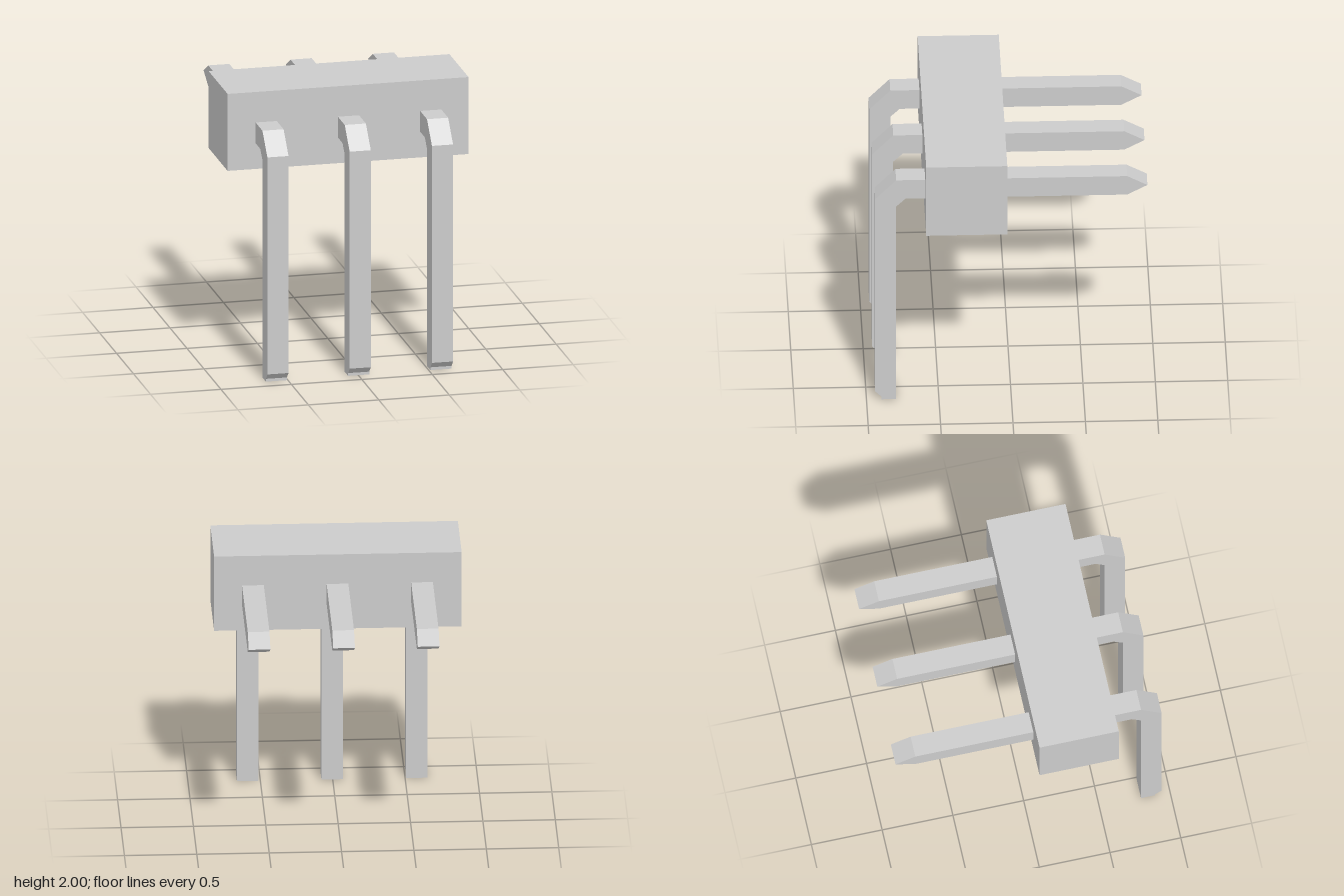
import * as THREE from 'three';

// Side outline of one bent pin as [z, y]
const PIN_OUTLINE = [
  [-0.94, 1.705], [-0.80, 1.63], [0.73, 1.63], [0.795, 1.567],
  [0.795, 0], [0.895, 0], [0.895, 0.02], [0.94, 0.065],
  [0.94, 1.63], [0.795, 1.78], [-0.80, 1.78],
];
const PIN_WIDTH = 0.15;
const PIN_SPACING = 0.584;

export function createModel() {
  const group = new THREE.Group();
  group.name = 'pinHeader';
  const material = new THREE.MeshStandardMaterial({ color: 0xcccccc, flatShading: true });

  // Housing block that holds the pins
  const housing = new THREE.Mesh(new THREE.BoxGeometry(1.71, 0.555, 0.56), material);
  housing.name = 'housing';
  housing.position.set(0, 1.7225, 0.314);
  group.add(housing);

  // Square right-angle pins with a wedge tip and a chamfered foot
  const shape = new THREE.Shape(PIN_OUTLINE.map(([z, y]) => new THREE.Vector2(z, y)));
  const pinGeometry = new THREE.ExtrudeGeometry(shape, { depth: PIN_WIDTH, bevelEnabled: false });
  pinGeometry.translate(0, 0, -PIN_WIDTH / 2);
  pinGeometry.rotateY(-Math.PI / 2);

  ['rightPin', 'middlePin', 'leftPin'].forEach((name, i) => {
    const pin = new THREE.Mesh(pinGeometry, material);
    pin.name = name;
    pin.position.x = (i - 1) * PIN_SPACING + 0.003;
    group.add(pin);
  });

  return group;
}
